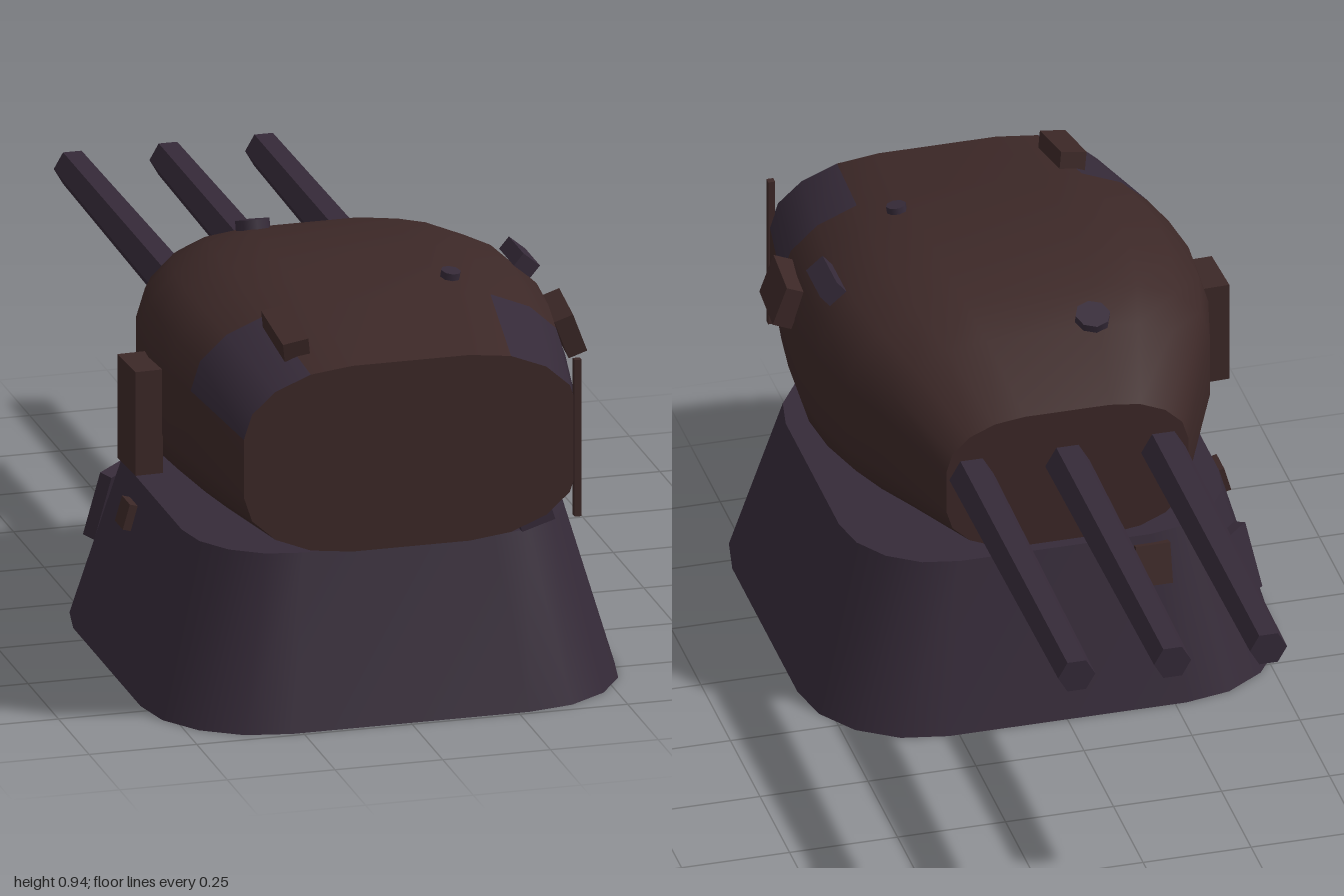
import * as THREE from 'three';

const mat = (name, color) => {
  const m = new THREE.MeshStandardMaterial({ color });
  m.name = name;
  return m;
};

const N = 20; // points per cross-section

// Rounded-rectangle section, counter-clockwise seen from +z
function ring(z, a, bottom, top, fx, fy) {
  const b = (top - bottom) / 2, cy = (top + bottom) / 2, pts = [];
  for (let q = 0; q < 4; q++) {
    const sx = q === 0 || q === 3 ? 1 : -1, sy = q < 2 ? 1 : -1;
    for (let k = 0; k <= 4; k++) {
      const t = (q * 4 + k) * Math.PI / 8;
      pts.push([a * (sx * (1 - fx) + fx * Math.cos(t)), cy + b * (sy * (1 - fy) + fy * Math.sin(t)), z]);
    }
  }
  return pts;
}

// Smooth skin through the rings, flat end caps; isPatch picks the second material
function loft(rings, isPatch = () => false) {
  const pos = rings.flat(2), main = [], patch = [];
  for (let j = 0; j < rings.length - 1; j++) {
    for (let i = 0; i < N; i++) {
      const a = j * N + i, b = j * N + (i + 1) % N;
      (isPatch(j, i) ? patch : main).push(a, b, b + N, a, b + N, a + N);
    }
  }
  [rings[0], rings[rings.length - 1]].forEach((r, end) => {
    const s = pos.length / 3;
    pos.push(...r.flat());
    for (let i = 1; i < N - 1; i++) main.push(s, s + (end ? i : i + 1), s + (end ? i + 1 : i));
  });
  const g = new THREE.BufferGeometry();
  g.setAttribute('position', new THREE.Float32BufferAttribute(pos, 3));
  g.setIndex([...main, ...patch]);
  g.addGroup(0, main.length, 0);
  g.addGroup(main.length, patch.length, 1);
  g.computeVertexNormals();
  return g;
}

export function createModel() {
  const model = new THREE.Group();
  model.name = 'gunTurret';
  const brown = mat('dark brown', 0x3c2827);
  const purple = mat('dark purple', 0x352a38);

  const add = (name, geo, material, p = [0, 0, 0], r = [0, 0, 0]) => {
    const m = new THREE.Mesh(geo, material);
    m.name = name;
    m.position.set(...p);
    m.rotation.set(...r);
    model.add(m);
    return m;
  };
  const box = (name, material, size, p, r) => add(name, new THREE.BoxGeometry(...size), material, p, r);

  // Tapered pedestal
  const base = loft([ring(0, 0.55, -0.55, 0.55, 0.5, 0.5), ring(0.39, 0.44, -0.45, 0.45, 0.5, 0.5)]);
  base.rotateX(-Math.PI / 2);
  add('pedestal', base, [purple, purple], [0, 0, 0.44]);

  // Turret housing: z, half width, bottom, top
  const sections = [
    [-0.11, 0.28, 0.47, 0.805], [0.1, 0.37, 0.435, 0.885], [0.22, 0.42, 0.413, 0.915],
    [0.35, 0.452, 0.4, 0.935], [0.47, 0.462, 0.393, 0.94], [0.6, 0.452, 0.396, 0.93],
    [0.72, 0.435, 0.402, 0.912], [0.99, 0.388, 0.418, 0.857],
  ];
  const cornerSegs = [0, 1, 2, 6, 7, 8];
  const housing = loft(sections.map((s) => ring(...s, 0.65, 0.69)),
    (j, i) => j === sections.length - 2 && cornerSegs.includes(i));
  add('housing', housing, [brown, purple]);

  // Three six-sided barrels
  for (const x of [-0.222, 0, 0.222]) {
    const g = new THREE.CylinderGeometry(0.043, 0.052, 0.95, 6, 1, false, Math.PI / 6).toNonIndexed();
    g.computeVertexNormals();
    g.rotateX(-Math.PI / 2);
    add('barrel', g, purple, [x, 0.668, -0.525]);
  }

  // Round fittings on the roof
  add('roofHatch', new THREE.CylinderGeometry(0.04, 0.04, 0.045, 8), purple, [-0.12, 0.887, 0.12], [-0.3, 0, 0]);
  add('roofKnob', new THREE.CylinderGeometry(0.023, 0.023, 0.025, 8), purple, [0.19, 0.923, 0.64], [0.12, 0, -0.12]);

  // Plates bolted to the housing
  box('sidePlate', brown, [0.065, 0.245, 0.13], [-0.488, 0.612, 0.495], [0, 0.04, 0]);
  box('sideBox', brown, [0.045, 0.095, 0.16], [0.464, 0.772, 0.605], [0.05, -0.08, 0.36]);
  box('shoulderBox', purple, [0.05, 0.035, 0.12], [0.405, 0.882, 0.45], [0, 0, -0.7]);
  box('roofBox', brown, [0.06, 0.045, 0.155], [-0.247, 0.893, 0.835], [0.2, 0.05, 0.15]);
  box('lowerBox', purple, [0.08, 0.035, 0.1], [0.31, 0.432, 0.875], [0, 0, 0.3]);
  box('underBox', purple, [0.035, 0.025, 0.08], [-0.25, 0.408, 0.6], [0, 0, -0.15]);

  // Thin post at the end face
  box('post', brown, [0.016, 0.37, 0.016], [0.385, 0.64, 0.992]);

  // Plates on the pedestal
  box('pedestalSidePlate', brown, [0.025, 0.06, 0.065], [-0.468, 0.315, 0.32], [0, 0, -0.28]);
  box('pedestalEndPlate', brown, [0.08, 0.095, 0.025], [-0.22, 0.325, -0.03], [0.25, 0, 0]);
  const corner = box('pedestalCornerPlate', purple, [0.095, 0.16, 0.03], [-0.435, 0.25, 0.04]);
  corner.rotation.set(0.28, Math.PI / 4, 0, 'YXZ');

  return model;
}
